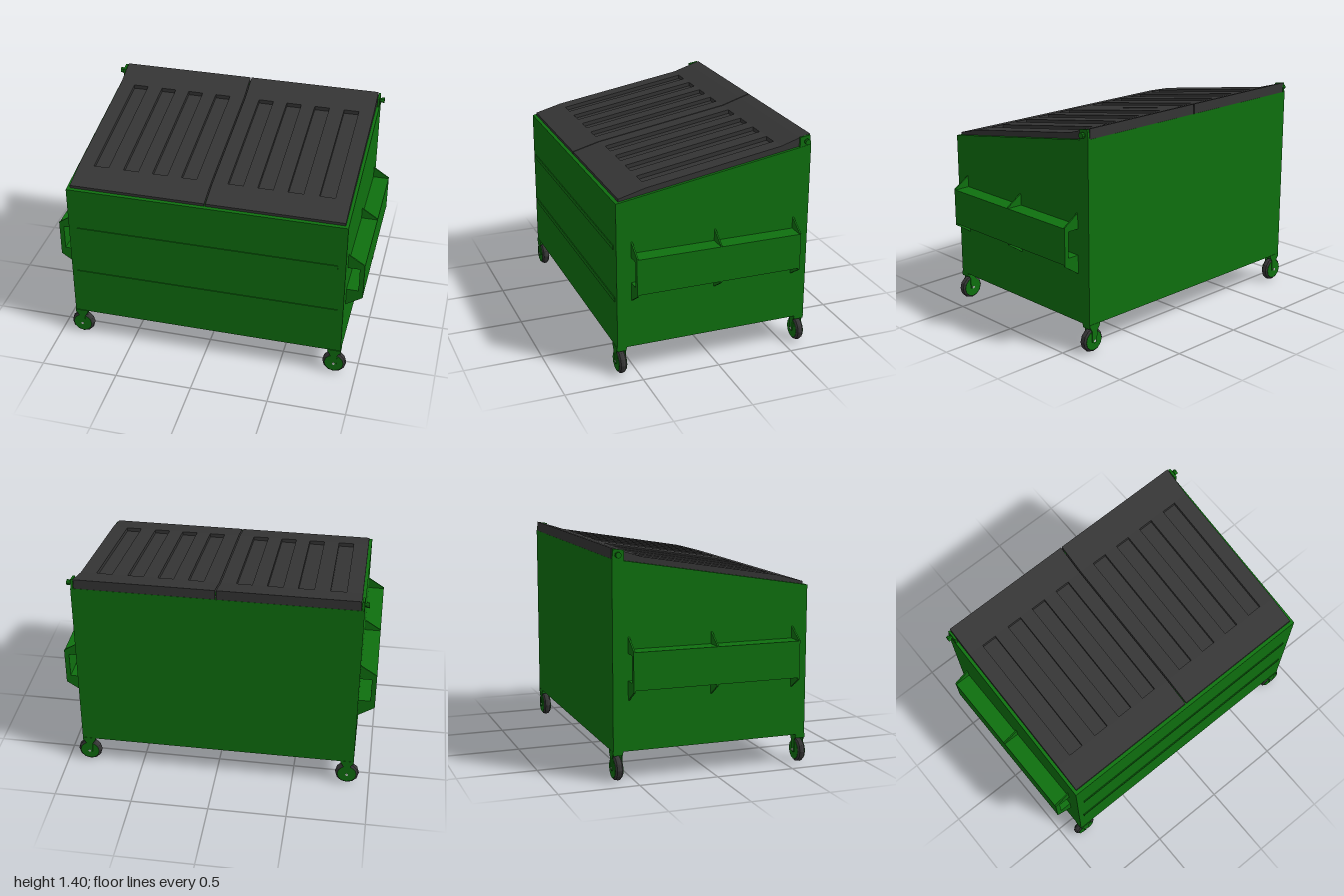
import * as THREE from 'three';

const green = new THREE.MeshStandardMaterial({ color: 0x0f700f, flatShading: true });
const dark = new THREE.MeshStandardMaterial({ color: 0x353535, flatShading: true });
const grey = new THREE.MeshStandardMaterial({ color: 0xcccccc, flatShading: true });

const shapeOf = (pts) => new THREE.Shape(pts.map(([a, b]) => new THREE.Vector2(a, b)));

// Extrude an (x, y) outline along z, centred on z = 0
function extrudeZ(pts, depth) {
  return new THREE.ExtrudeGeometry(shapeOf(pts), { depth, bevelEnabled: false }).translate(0, 0, -depth / 2);
}

// Extrude a (z, y) outline along x, centred on x = 0
const extrudeX = (pts, width) => extrudeZ(pts, width).rotateY(-Math.PI / 2);

function add(parent, name, geometry, material, x = 0, y = 0, z = 0) {
  const mesh = new THREE.Mesh(geometry, material);
  mesh.name = name;
  mesh.position.set(x, y, z);
  parent.add(mesh);
  return mesh;
}

function addGroup(parent, name) {
  const group = new THREE.Group();
  group.name = name;
  parent.add(group);
  return group;
}

// Lid half: stepped base plus a sloped panel pierced by four long grooves
function makeLid(parent, side) {
  const lid = addGroup(parent, side > 0 ? 'leftLid' : 'rightLid');
  const width = 0.871, cx = side * 0.4395, thick = 0.025;
  const zFront = 0.43, zBack = -0.44;
  const topY = (z) => 1.2 + (zFront - z) * 0.169;
  add(lid, 'lidBase', extrudeX([
    [0.605, 1.125], [0.605, 1.153], [zFront, 1.2], [zFront, 1.2 - thick],
    [zBack, topY(zBack) - thick], [zBack, topY(zBack)], [-0.56, 1.385],
    [-0.628, 1.405], [-0.628, 1.335],
  ], width), dark, cx);

  const rect = (x0, x1, z0, z1) => [[x0, -z0], [x1, -z0], [x1, -z1], [x0, -z1]];
  const panel = shapeOf(rect(cx - width / 2, cx + width / 2, zFront, zBack));
  for (const gx of [0.15, 0.34, 0.53, 0.727]) {
    const x = side * gx;
    panel.holes.push(shapeOf(rect(x - 0.049, x + 0.049, 0.42, -0.435)));
  }
  const geometry = new THREE.ExtrudeGeometry(panel, { depth: thick, bevelEnabled: false }).rotateX(-Math.PI / 2);
  const p = geometry.attributes.position;
  for (let i = 0; i < p.count; i++) p.setY(i, p.getY(i) + topY(p.getZ(i)) - thick);
  geometry.computeVertexNormals();
  add(lid, 'groovedPanel', geometry, dark);
}

// Fork pocket: C-shaped channel with triangular gussets above and below
function makePocket(parent, side) {
  const pocket = addGroup(parent, side > 0 ? 'leftForkPocket' : 'rightForkPocket');
  const mirror = (pts) => pts.map(([x, y]) => [side * x, y]);
  add(pocket, 'channel', extrudeZ(mirror([
    [0.893, 0.805], [1, 0.805], [1, 0.575], [0.893, 0.575],
    [0.893, 0.615], [0.97, 0.615], [0.97, 0.78], [0.893, 0.78],
  ]), 1.07), green);
  for (const z of [0.53, -0.005, -0.53]) {
    add(pocket, 'upperGusset', extrudeZ(mirror([[0.893, 0.88], [1, 0.81], [1, 0.8], [0.893, 0.8]]), 0.01), green, 0, 0, z);
    add(pocket, 'lowerGusset', extrudeZ(mirror([[0.893, 0.495], [1, 0.565], [1, 0.58], [0.893, 0.58]]), 0.01), green, 0, 0, z);
  }
}

// Caster: rounded tyre, hub, axle and a two-sided fork under the body
function makeCaster(parent, sx, sz) {
  const caster = addGroup(parent, 'caster');
  caster.position.set(sx * 0.855, 0.078, sz * 0.6);
  const tyre = [[0.05, -0.024], [0.062, -0.024], [0.074, -0.015], [0.078, 0], [0.074, 0.015], [0.062, 0.024], [0.05, 0.024]];
  add(caster, 'tyre', new THREE.LatheGeometry(tyre.map(([r, h]) => new THREE.Vector2(r, h)), 12).rotateX(Math.PI / 2), dark);
  add(caster, 'hub', new THREE.CylinderGeometry(0.062, 0.062, 0.052, 12).rotateX(Math.PI / 2), green);
  add(caster, 'axle', new THREE.CylinderGeometry(0.009, 0.009, 0.068, 8).rotateX(Math.PI / 2), grey);
  const prong = [[-0.04, 0.11], [-0.04, 0.1], [-0.02, 0.065], [-0.018, -0.008], [0, -0.018], [0.018, -0.008],
    [0.022, 0.06], [0.045, 0.1], [0.045, 0.11]].map(([x, y]) => [-sx * x, y]);
  for (const z of [-0.029, 0.029]) add(caster, 'forkPlate', extrudeZ(prong, 0.006), green, 0, 0, z);
  add(caster, 'forkTop', new THREE.BoxGeometry(0.08, 0.025, 0.06), green, 0, 0.096, 0);
}

export function createModel() {
  const model = new THREE.Group();
  model.name = 'wasteContainer';

  // Sloped-top body
  add(model, 'body', extrudeX([[0.627, 0.185], [0.627, 1.132], [-0.63, 1.342], [-0.63, 0.185]], 1.79), green);

  // Stiffening ribs on the front
  add(model, 'upperRib', new THREE.BoxGeometry(1.69, 0.027, 0.012), green, 0, 0.838, 0.626);
  add(model, 'lowerRib', new THREE.BoxGeometry(1.72, 0.03, 0.012), green, 0, 0.5, 0.626);

  // Hinge rod along the rear edge
  add(model, 'hingeRod', new THREE.CylinderGeometry(0.012, 0.012, 1.83, 10).rotateZ(Math.PI / 2), green, 0, 1.366, -0.597);

  for (const side of [1, -1]) {
    makeLid(model, side);
    makePocket(model, side);
    add(model, 'hingeEar', extrudeX([[-0.557, 1.32], [-0.557, 1.392], [-0.622, 1.402], [-0.63, 1.335], [-0.63, 1.32]], 0.014), green, side * 0.886);
    add(model, 'hingeCap', new THREE.CylinderGeometry(0.018, 0.018, 0.02, 10).rotateZ(Math.PI / 2), green, side * 0.912, 1.366, -0.597);
    for (const sz of [1, -1]) makeCaster(model, side, sz);
  }
  return model;
}
